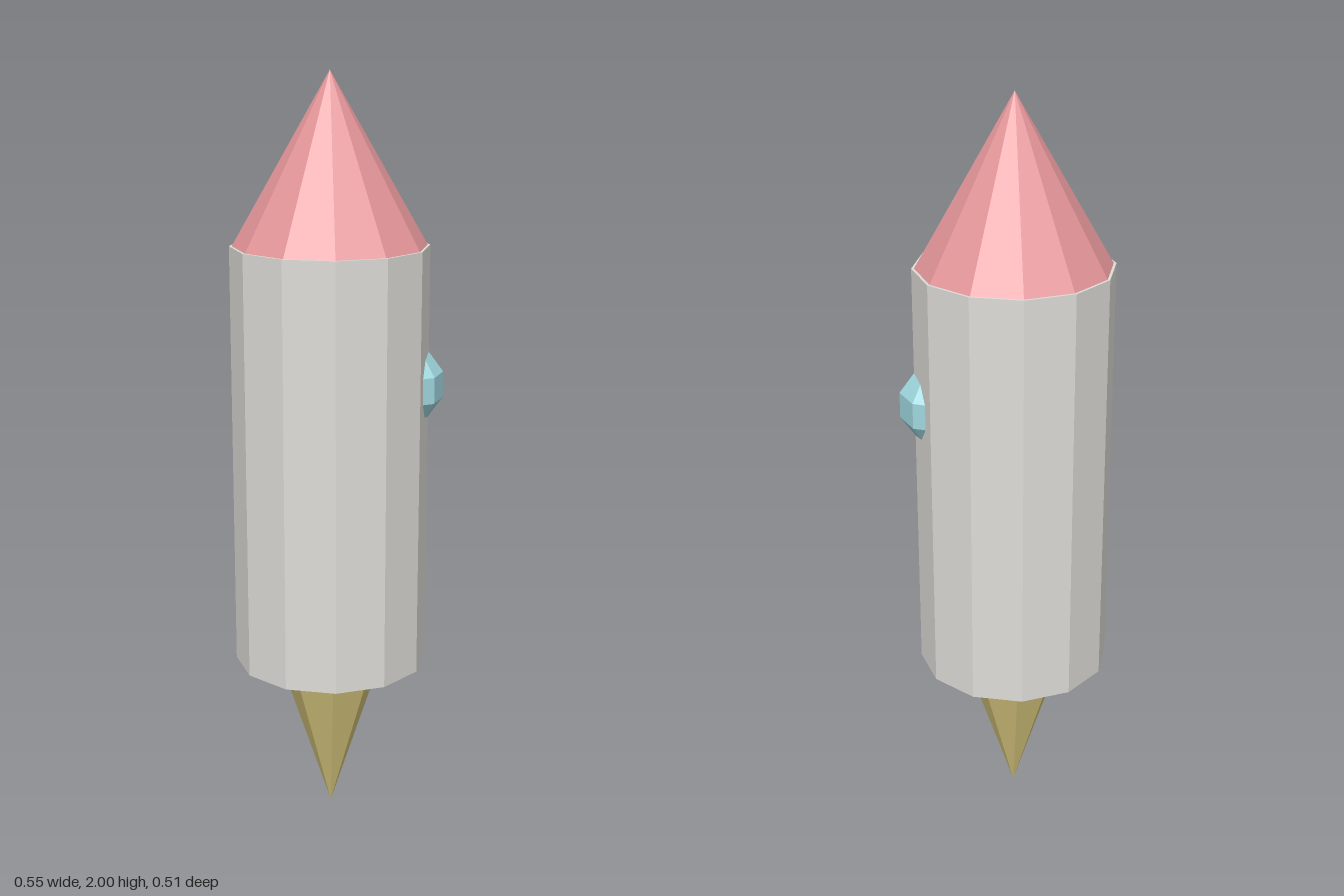
import * as THREE from 'three';

const flat = (name, color) => {
  const m = new THREE.MeshStandardMaterial({ color, flatShading: true });
  m.name = name;
  return m;
};

export function createModel() {
  const hullGrey = flat('hull grey', 0xdedcd7);
  const pink = flat('pink', 0xe6979b);
  const flameYellow = flat('flame yellow', 0xd6c57c);
  const windowBlue = flat('window blue', 0xa0d8e0);

  const rocket = new THREE.Group();
  rocket.name = 'rocket';
  const axisX = -0.022; // the window sticks out, so the hull sits off centre
  const hullBottom = 0.44, hullTop = 1.565;

  const add = (name, geometry, material, x, y, z = 0) => {
    const mesh = new THREE.Mesh(geometry, material);
    mesh.name = name;
    mesh.position.set(x, y, z);
    rocket.add(mesh);
    return mesh;
  };

  // Twelve-sided hull and nose cone
  const hullHeight = hullTop - hullBottom;
  add('hull', new THREE.CylinderGeometry(0.257, 0.257, hullHeight, 12), hullGrey,
    axisX, hullBottom + hullHeight / 2);
  const noseHeight = 2 - hullTop;
  add('noseCone', new THREE.ConeGeometry(0.25, noseHeight, 12), pink,
    axisX, hullTop + noseHeight / 2);

  // Round window, half sunk into the hull
  add('window', new THREE.SphereGeometry(0.111, 8, 5), windowBlue, 0.168, 1.198);

  // Exhaust flame: an eight-sided cone pointing down
  const flame = add('flame', new THREE.ConeGeometry(0.144, hullBottom, 8), flameYellow,
    axisX, hullBottom / 2);
  flame.rotation.x = Math.PI;

  // Four blocks around the flame, under the hull
  const block = new THREE.BoxGeometry(0.085, 0.085, 0.085);
  for (let i = 0; i < 4; i++) {
    const a = i * Math.PI / 2;
    add('nozzleBlock', block, pink,
      axisX + 0.137 * Math.cos(a), 0.41 + 0.0425, 0.137 * Math.sin(a));
  }
  return rocket;
}
